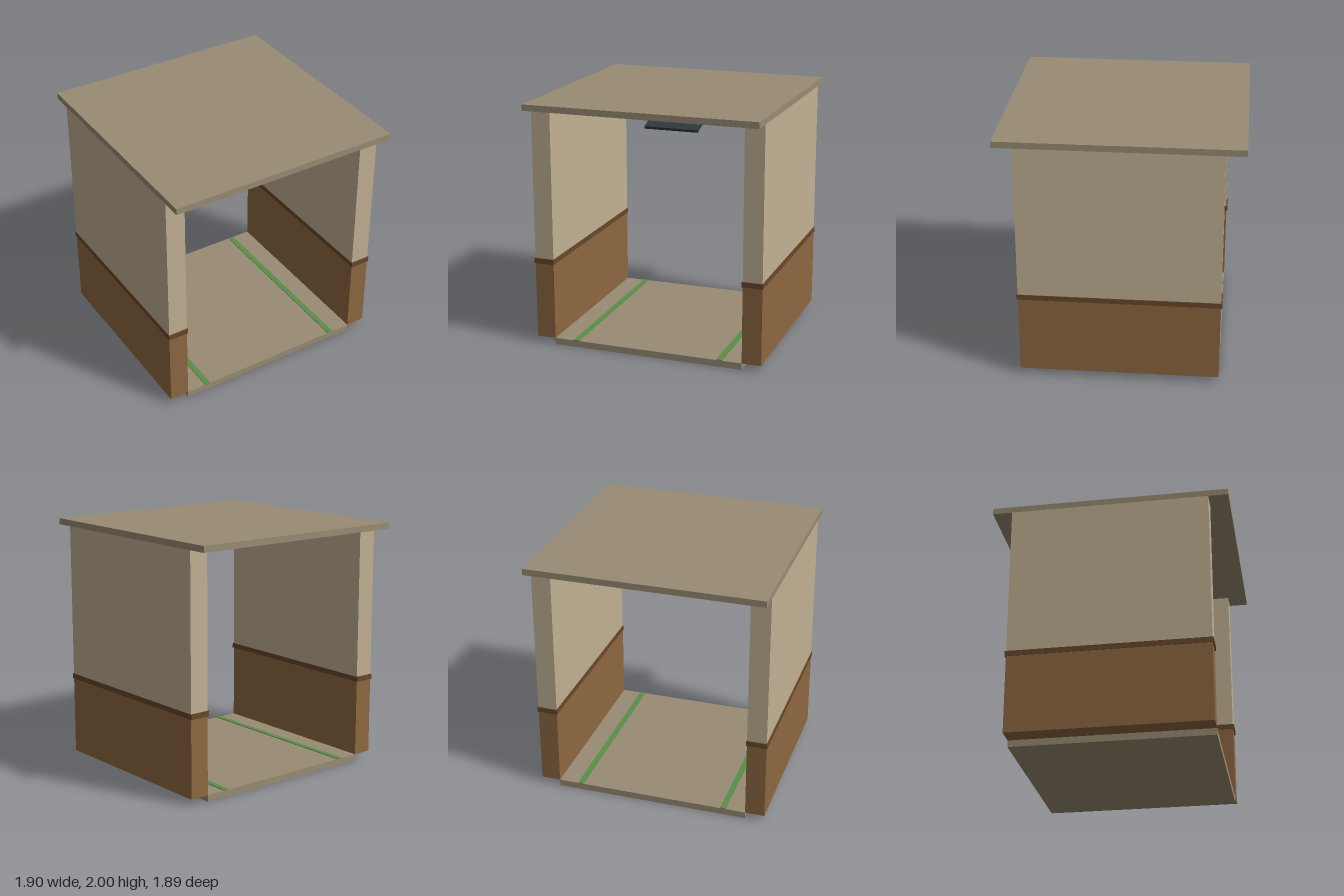
import * as THREE from 'three';

const mat = (name, color) => Object.assign(new THREE.MeshStandardMaterial({ color }), { name });

export function createModel() {
  const root = new THREE.Group();
  root.name = 'corridorSection';

  const slab = mat('stone slab', 0x9a8c74);
  const plaster = mat('cream plaster', 0xc2b294);
  const wood = mat('brown panelling', 0x8e6840);
  const rail = mat('dark wood rail', 0x69482b);
  const green = mat('green guide line', 0x5a8f48);
  const dark = mat('dark metal', 0x2f383e);

  const box = (name, material, size, pos, parent = root) => {
    const mesh = new THREE.Mesh(new THREE.BoxGeometry(...size), material);
    mesh.name = name;
    mesh.position.set(...pos);
    parent.add(mesh);
    return mesh;
  };

  // Floor and overhanging ceiling
  box('floor', slab, [1.576, 0.053, 1.576], [0, 0.0265, 0]);
  box('ceiling', slab, [1.89, 0.05, 1.89], [0, 1.975, 0]);

  // Walls, mirrored on both sides, with the guide lines on the floor
  for (const [side, s] of [['left', 1], ['right', -1]]) {
    const wall = new THREE.Group();
    wall.name = side + 'Wall';
    root.add(wall);
    box(side + 'Wainscot', wood, [0.157, 0.627, 1.576], [s * 0.8665, 0.3665, 0], wall);
    box(side + 'UpperWall', plaster, [0.157, 1.23, 1.576], [s * 0.8665, 1.335, 0], wall);
    box(side + 'ChairRail', rail, [0.167, 0.042, 1.596], [s * 0.8665, 0.7, 0], wall);
    box(side + 'GuideLine', green, [0.046, 0.006, 1.574], [s * 0.605, 0.056, 0]);
  }

  // Ceiling fixture: mounting plate with a tilted panel beneath
  const fixture = new THREE.Group();
  fixture.name = 'ceilingFixture';
  root.add(fixture);
  box('mountingPlate', dark, [0.524, 0.032, 0.524], [0, 1.934, 0], fixture);
  const panel = box('tiltedPanel', dark, [0.45, 0.022, 0.45], [0, 1.793, 0], fixture);
  panel.rotation.x = 0.33;

  return root;
}
